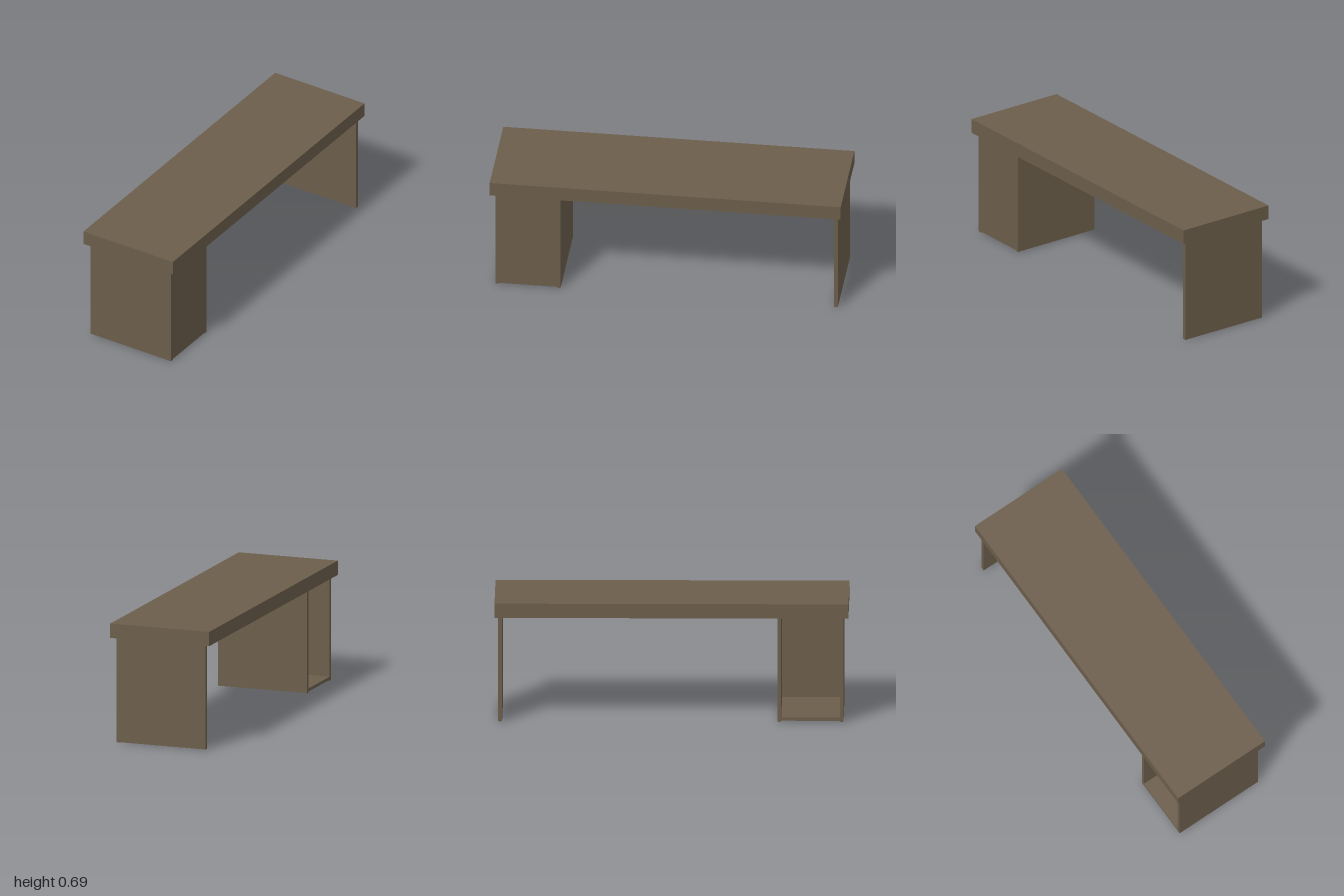
import * as THREE from 'three';

export function createModel() {
  const group = new THREE.Group();
  const wood = new THREE.MeshStandardMaterial({ color: 0x6b5d4a });
  wood.name = 'brown wood';

  // Box given by its minimum and maximum on each axis
  const board = (name, [x0, x1], [y0, y1], [z0, z1]) => {
    const mesh = new THREE.Mesh(new THREE.BoxGeometry(x1 - x0, y1 - y0, z1 - z0), wood);
    mesh.position.set((x0 + x1) / 2, (y0 + y1) / 2, (z0 + z1) / 2);
    mesh.name = name;
    group.add(mesh);
  };

  const base = 0.003, under = 0.607, w = 0.27;
  board('desktop', [-0.3, 0.3], [under, 0.69], [-1, 1]);

  // Upright panels: the end leg and the two cabinet sides, each on small glides
  const uprights = [
    ['endLeg', -0.98, -0.957],
    ['cabinetInnerSide', 0.6, 0.62],
    ['cabinetOuterSide', 0.952, 0.972],
  ];
  for (const [name, z0, z1] of uprights) {
    board(name, [-w, w], [base, under], [z0, z1]);
    for (const s of [-1, 1]) {
      const glide = new THREE.Mesh(new THREE.CylinderGeometry(0.006, 0.006, base, 12), wood);
      glide.position.set(s * 0.263, base / 2, (z0 + z1) / 2);
      glide.name = 'glide';
      group.add(glide);
    }
  }

  // Cabinet, open towards -x
  board('cabinetFloor', [-w, w - 0.02], [0.008, 0.026], [0.62, 0.952]);
  board('cabinetBack', [w - 0.02, w], [0.008, 0.605], [0.62, 0.952]);

  return group;
}
